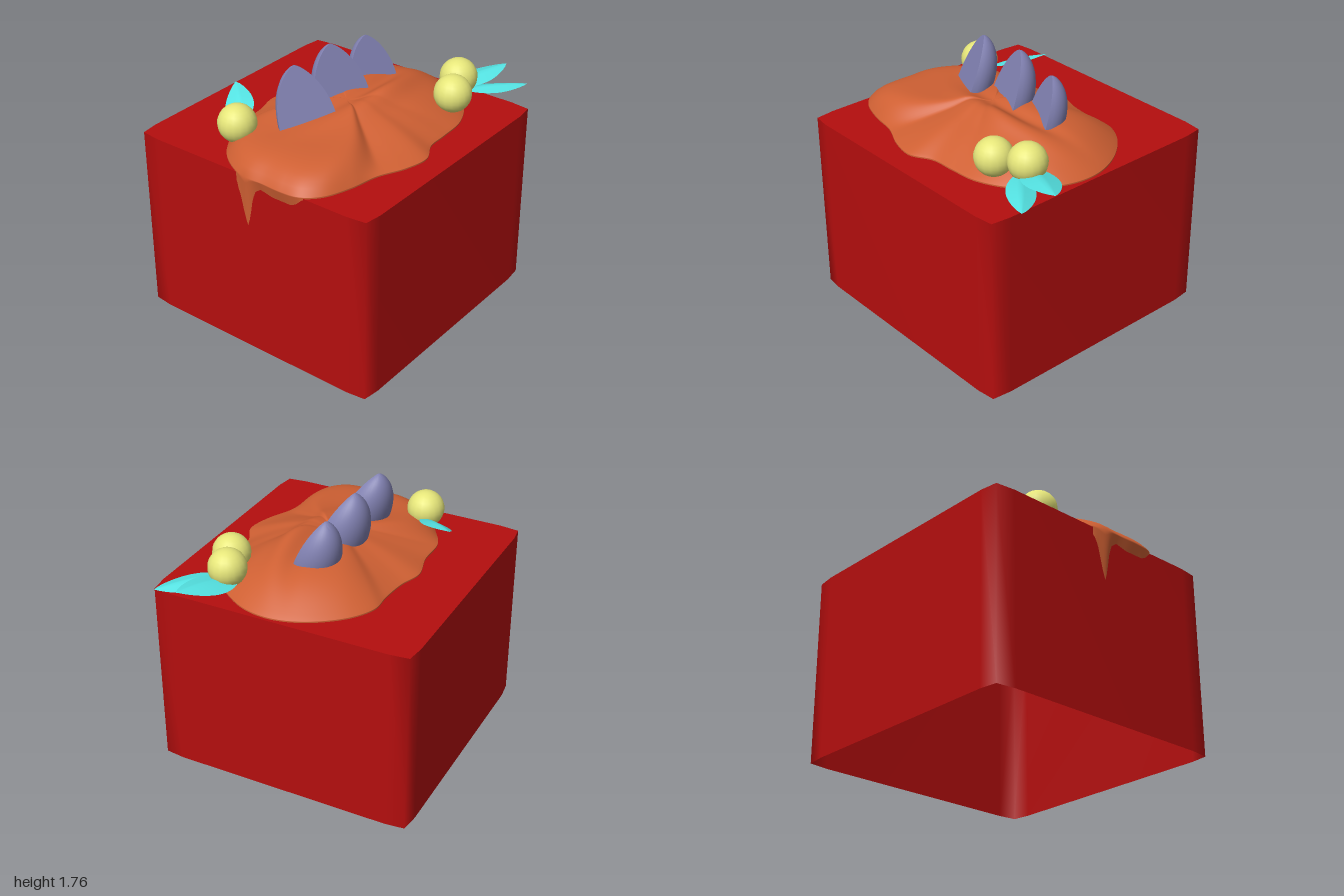
import * as THREE from 'three';
import { toCreasedNormals } from 'three/addons/utils/BufferGeometryUtils.js';

const { smoothstep, lerp } = THREE.MathUtils;

const material = (color, side = THREE.DoubleSide) => new THREE.MeshStandardMaterial({ color, side });

// Surface from rows x cols points; wrap closes each row into a loop
function grid(rows, cols, wrap, point) {
  const pos = [], index = [];
  for (let i = 0; i < rows; i++) for (let j = 0; j < cols; j++) pos.push(...point(i, j));
  for (let i = 0; i < rows - 1; i++) {
    for (let j = 0; j < (wrap ? cols : cols - 1); j++) {
      const k = (j + 1) % cols;
      const a = i * cols + j, b = a + cols, c = i * cols + k, d = c + cols;
      index.push(a, c, b, c, d, b);
    }
  }
  const g = new THREE.BufferGeometry();
  g.setAttribute('position', new THREE.Float32BufferAttribute(pos, 3));
  g.setIndex(index);
  g.computeVertexNormals();
  return g;
}

function add(parent, name, geometry, mat) {
  const mesh = new THREE.Mesh(geometry, mat);
  mesh.name = name;
  parent.add(mesh);
  return mesh;
}

// Piecewise linear lookup in a list of [x, y]
function lookup(table, x) {
  for (let i = 1; i < table.length; i++) {
    const [x0, y0] = table[i - 1], [x1, y1] = table[i];
    if (x >= x0 && x <= x1) return lerp(y0, y1, (x - x0) / (x1 - x0));
  }
  return 1.25;
}

// Hollow cake body, open underneath, with soft corners
function cakeBody() {
  const group = new THREE.Group();
  group.name = 'cakeBody';
  const top = 1.26;
  const right = [[0.74, 0.96], [0.87, 0.945], [0.885, 0.83], [0.885, -0.67], [0.87, -0.795], [0.74, -0.81]];
  const loop = [...right, ...right.map(([x, z]) => [-x, z]).reverse()];
  const mat = material(0xb40e0e);
  add(group, 'cakeWalls', grid(2, loop.length, true, (i, j) => [loop[j][0], i * top, loop[j][1]]), mat);
  const lid = new THREE.ShapeGeometry(new THREE.Shape(loop.map(([x, z]) => new THREE.Vector2(x, -z))));
  lid.rotateX(-Math.PI / 2).translate(0, top, 0);
  add(group, 'cakeTop', lid, mat);
  return group;
}

// Icing pool: domed over an irregular outline, with a skirt that drips down the front
function icing() {
  const outline = new THREE.CatmullRomCurve3([
    [0.66, 0], [0.73, 0.15], [0.70, 0.32], [0.62, 0.5], [0.58, 0.7], [0.51, 0.88], [0.41, 0.97], [0.28, 0.99],
    [0.14, 0.985], [0, 0.985], [-0.13, 0.94], [-0.27, 0.84], [-0.37, 0.7], [-0.47, 0.52], [-0.48, 0.3],
    [-0.525, 0.1], [-0.48, -0.06], [-0.46, -0.25], [-0.46, -0.4], [-0.38, -0.55], [-0.22, -0.69],
    [-0.05, -0.77], [0.1, -0.79], [0.25, -0.76], [0.38, -0.69], [0.53, -0.56], [0.63, -0.36], [0.65, -0.16],
  ].map(([x, z]) => new THREE.Vector3(x, 0, z)), true);
  const drips = [[-0.13, 1.25], [-0.08, 1.2], [-0.05, 1.12], [-0.02, 0.98], [0, 0.92], [0.02, 0.98],
    [0.045, 1.12], [0.07, 1.18], [0.11, 1.21], [0.2, 1.19], [0.34, 1.19], [0.38, 1.21], [0.42, 1.25]];
  const cols = 280, dome = 26, skirt = 8, cx = 0.08, cz = 0.1;
  const rim = Array.from({ length: cols }, (_, j) => outline.getPoint(j / cols));
  const bump = (d, w) => Math.exp(-d * d / (w * w));
  return grid(dome + skirt + 1, cols, true, (i, j) => {
    const e = rim[j];
    if (i > dome) {
      const s = (i - dome) / skirt;
      const low = e.z > 0.9 ? lookup(drips, e.x) : 1.25;
      return [e.x, lerp(1.27, low, s), e.z > 0.965 ? lerp(e.z, 0.968, s) : e.z];
    }
    const t = i / dome;
    const x = lerp(cx, e.x, t), z = lerp(cz, e.z, t);
    const dir = (e.z - cz) / Math.hypot(e.x - cx, e.z - cz);
    const power = 1.6 + 10 * smoothstep(dir, 0.55, 0.97) + 1.6 * smoothstep(-dir, 0.5, 1);
    const crown = 0.215 - 0.105 * smoothstep(z, -0.2, 1);
    // Swirl: a groove beside a raised ridge, fading to front and back
    const fade = bump(z + 0.12, 0.42), bend = 0.35 * (z + 0.1) ** 2;
    const swirl = fade * (0.035 * bump(x - 0.25 + bend, 0.07) - 0.03 * bump(x - 0.12 + bend, 0.06));
    const wave = 0.012 * Math.sin(9 * z + 3 * x) * t;
    return [x, 1.27 + crown * (1 - t ** power) + (swirl + wave) * (1 - t ** 4), z];
  });
}

// Fruit wedge: flat leaning face between two base corners, rounded back, pointed top
function wedge([px, pz], [qx, qz], [ax, ay, az], depth) {
  const base = 1.38, rows = 18, arc = 16;
  const mx = (px + qx) / 2, mz = (pz + qz) / 2;
  const hx = (qx - px) / 2, hz = (qz - pz) / 2, half = Math.hypot(hx, hz);
  const g = grid(rows + 1, arc + 1, true, (i, j) => {
    const s = Math.sin(i / rows * Math.PI / 2);
    const w = (1 - s ** 2.2) ** 0.72;
    const a = j / arc * Math.PI;
    const along = -Math.cos(a) * w, back = Math.sin(a) * w * depth / half;
    return [lerp(mx, ax, s) + hx * along - hz * back, lerp(base, ay, s), lerp(mz, az, s) + hz * along + hx * back];
  });
  return toCreasedNormals(g, 0.8);
}

// Leaf: pointed blade creased along its middle, from base to tip
function leaf(from, to, width, roll) {
  const a = new THREE.Vector3(...from), b = new THREE.Vector3(...to);
  const dir = b.clone().sub(a);
  const len = Math.hypot(dir.x, dir.z);
  return grid(15, 9, false, (i, j) => {
    const u = i / 14, v = j / 4 - 1;
    const w = width * (Math.sin(Math.PI * u ** 0.85) ** 0.8 || 0) * v;
    const y = lerp(a.y, b.y, u) + 0.03 * Math.sin(Math.PI * u) * (0.6 - Math.abs(v)) + roll * w / width;
    return [lerp(a.x, b.x, u) - dir.z / len * w, y, lerp(a.z, b.z, u) + dir.x / len * w];
  });
}

export function createModel() {
  const model = new THREE.Group();
  model.name = 'decoratedCake';
  model.add(cakeBody());
  add(model, 'icing', icing(), material(0xcf6033));

  // Row of three wedges along the middle
  const wedgeMat = material(0x8080b0);
  [
    [[0.16, 0.28], [-0.03, 0.61], [-0.09, 1.745, 0.40], 0.19],
    [[0.13, -0.1], [-0.02, 0.26], [-0.09, 1.76, 0.05], 0.2],
    [[0.12, -0.4], [-0.02, -0.1], [-0.06, 1.71, -0.28], 0.18],
  ].forEach((w, i) => add(model, `fruitWedge${i + 1}`, wedge(...w), wedgeMat));

  // Berries
  const berryMat = material(0xe6e67a, THREE.FrontSide);
  [[0.44, 1.435, -0.62], [0.53, 1.42, -0.42], [-0.3, 1.41, 0.7]].forEach((p, i) =>
    add(model, `berry${i + 1}`, new THREE.SphereGeometry(0.124, 18, 14), berryMat).position.set(...p));

  // Leaves tucked under the berries
  const leafMat = material(0x55e4e4);
  [
    [[0.39, 1.36, -0.58], [0.57, 1.42, -1.0], 0.115, 0.01],
    [[0.48, 1.36, -0.6], [0.77, 1.355, -0.94], 0.09, 0.01],
    [[-0.32, 1.37, 0.63], [-0.61, 1.465, 0.365], 0.09, 0.03],
  ].forEach((l, i) => add(model, `leaf${i + 1}`, leaf(...l), leafMat));

  return model;
}
